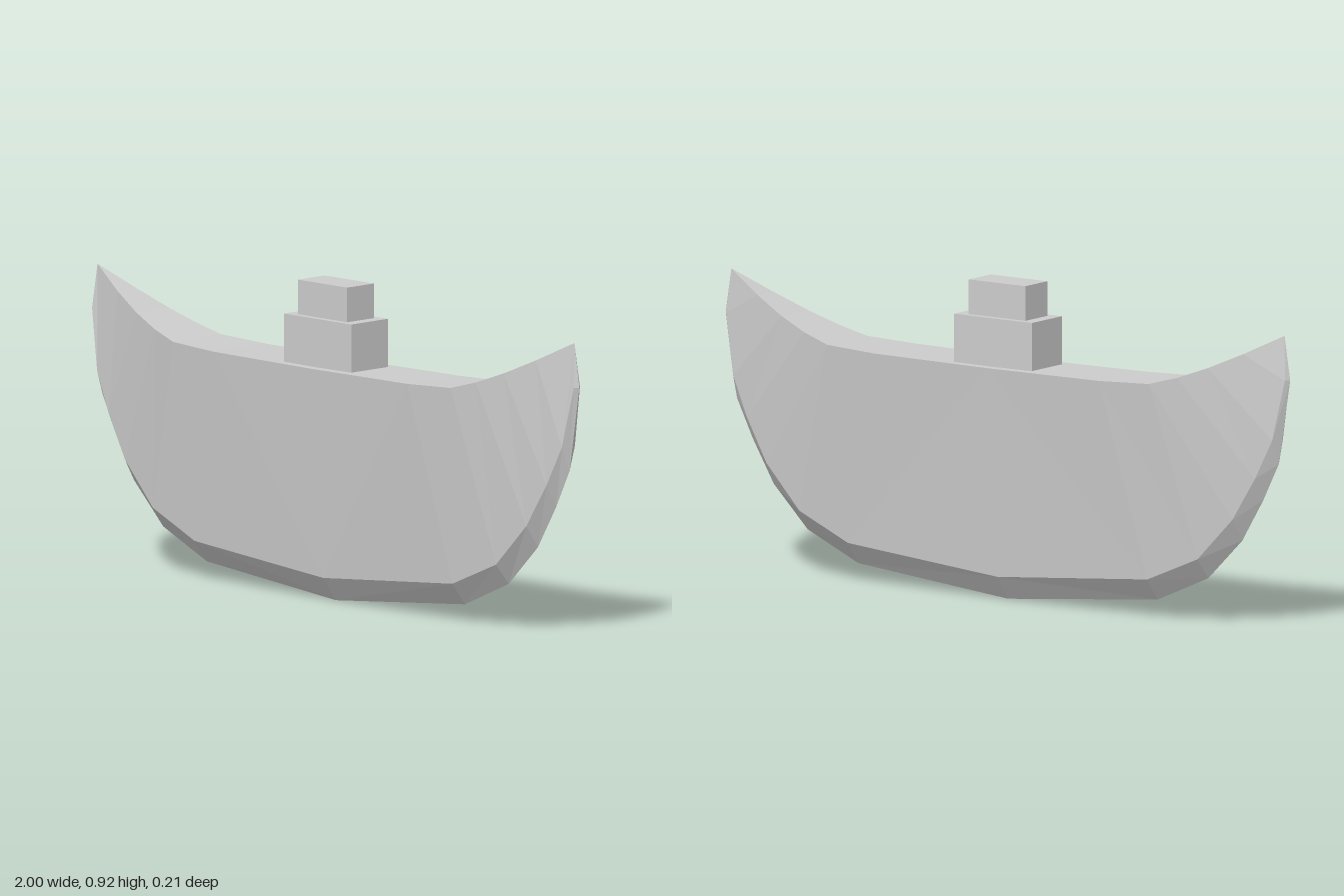
import * as THREE from 'three';

// Half-hull stations, midships to bow tip:
// keel x, y | chine x, y, z | deck edge x, y, z
const HALF = [
  [0, 0, 0, 0.07, 0.051, 0, 0.68, 0.102],
  [0.53, 0.05, 0.53, 0.115, 0.05, 0.4, 0.683, 0.104],
  [0.71, 0.13, 0.705, 0.19, 0.046, 0.57, 0.69, 0.096],
  [0.83, 0.25, 0.825, 0.315, 0.041, 0.66, 0.715, 0.083],
  [0.905, 0.375, 0.9, 0.44, 0.034, 0.755, 0.75, 0.064],
  [0.96, 0.485, 0.955, 0.555, 0.026, 0.86, 0.797, 0.037],
  [1, 0.73, 0.99, 0.73, 0.012, 0.98, 0.857, 0],
];

// Five-point ring around the hull; side is 1 or -1 along x
function ring([kx, ky, cx, cy, cz, dx, dy, dz], side) {
  return [
    [kx * side, ky, 0],
    [cx * side, cy, cz],
    [dx * side, dy, dz],
    [dx * side, dy, -dz],
    [cx * side, cy, -cz],
  ];
}

function hullGeometry() {
  const rings = [
    ...HALF.slice(1).reverse().map((s) => ring(s, -1)),
    ...HALF.map((s) => ring(s, 1)),
  ];
  const pos = [];
  const tri = (a, b, c) => pos.push(...a, ...b, ...c);

  // Skin between neighbouring rings
  for (let i = 0; i < rings.length - 1; i++) {
    for (let j = 0; j < 5; j++) {
      const k = (j + 1) % 5;
      const a = rings[i][j], b = rings[i + 1][j];
      const c = rings[i + 1][k], d = rings[i][k];
      if (i < rings.length / 2 - 1) {
        tri(a, b, d);
        tri(b, c, d);
      } else {
        tri(a, b, c);
        tri(a, c, d);
      }
    }
  }

  // Pointed stem caps at both ends
  const first = rings[0], last = rings[rings.length - 1];
  for (const [j, k] of [[1, 2], [2, 4]]) {
    tri(first[0], first[j], first[k]);
    tri(last[0], last[k], last[j]);
  }

  const geo = new THREE.BufferGeometry();
  geo.setAttribute('position', new THREE.Float32BufferAttribute(pos, 3));
  geo.computeVertexNormals();
  return geo;
}

export function createModel() {
  const model = new THREE.Group();
  model.name = 'boat';
  const material = new THREE.MeshStandardMaterial({ color: 0xcccccc, flatShading: true });

  const add = (name, geometry, y = 0) => {
    const mesh = new THREE.Mesh(geometry, material);
    mesh.name = name;
    mesh.position.y = y;
    model.add(mesh);
    return mesh;
  };

  // Hull with a very slight yaw
  add('hull', hullGeometry()).rotation.y = -0.008;

  // Stepped deckhouse
  add('lowerCabin', new THREE.BoxGeometry(0.274, 0.16, 0.146), 0.74);
  add('upperCabin', new THREE.BoxGeometry(0.2, 0.1, 0.106), 0.87);

  return model;
}
